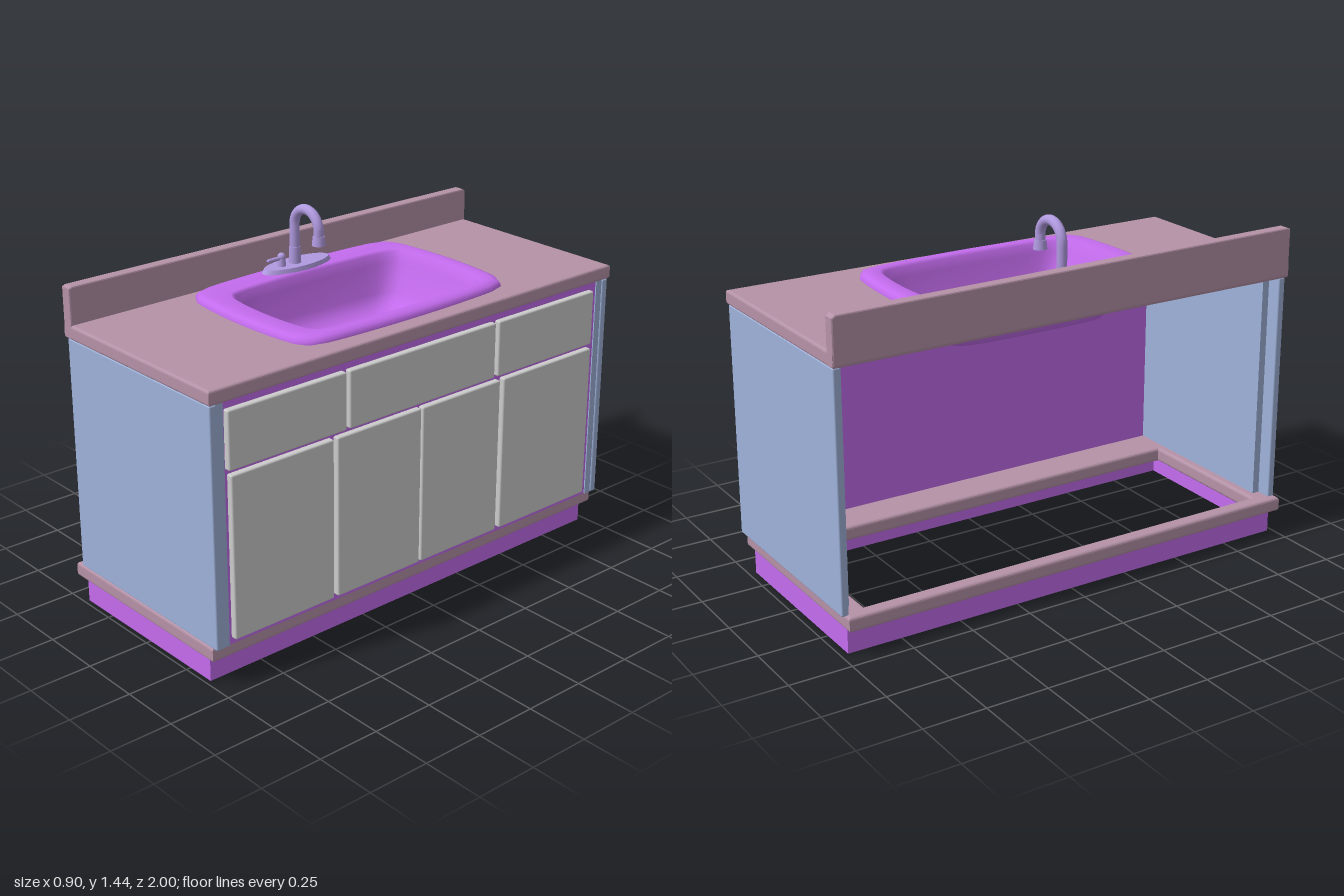
import * as THREE from 'three';
import { RoundedBoxGeometry } from 'three/addons/geometries/RoundedBoxGeometry.js';

const mat = (color, side = THREE.FrontSide) => new THREE.MeshStandardMaterial({ color, side });
const purple = mat(0xc46cee), purpleThin = mat(0xc46cee, THREE.DoubleSide);
const stone = mat(0xb592a7), blue = mat(0x9fb2da), metal = mat(0xb09ae0), grey = mat(0xcccccc);

export function createModel() {
  const model = new THREE.Group();

  const add = (name, geometry, material, x = 0, y = 0, z = 0) => {
    const mesh = new THREE.Mesh(geometry, material);
    mesh.name = name;
    mesh.position.set(x, y, z);
    model.add(mesh);
    return mesh;
  };

  // Box given by its limits, with optionally rounded edges
  const block = (name, material, [x0, x1], [y0, y1], [z0, z1], round = 0) => {
    const size = [x1 - x0, y1 - y0, z1 - z0];
    const geo = round ? new RoundedBoxGeometry(...size, 2, round) : new THREE.BoxGeometry(...size);
    return add(name, geo, material, (x0 + x1) / 2, (y0 + y1) / 2, (z0 + z1) / 2);
  };

  // Horizontal slab with a rectangular opening; limits are [x0, x1, z0, z1]
  const slab = (name, material, outer, inner, y0, y1, bevel) => {
    const corners = ([x0, x1, z0, z1]) =>
      [[x0, -z1], [x1, -z1], [x1, -z0], [x0, -z0]].map(p => new THREE.Vector2(...p));
    const shape = new THREE.Shape(corners(outer));
    shape.holes.push(new THREE.Path(corners(inner)));
    const geo = new THREE.ExtrudeGeometry(shape, {
      depth: y1 - y0 - 2 * bevel, bevelEnabled: bevel > 0, bevelThickness: bevel,
      bevelSize: bevel, bevelOffset: -bevel, bevelSegments: 3
    });
    geo.rotateX(-Math.PI / 2);
    return add(name, geo, material, 0, y0 + bevel, 0);
  };

  // Hollow base and worktop
  slab('plinth', purple, [-0.41, 0.37, -0.97, 0.98], [-0.395, 0.355, -0.955, 0.965], 0, 0.11, 0);
  slab('baseTrim', stone, [-0.45, 0.415, -0.98, 1], [-0.39, 0.24, -0.89, 0.9], 0.1, 0.16, 0.012);
  slab('countertop', stone, [-0.43, 0.44, -1, 1], [-0.26, 0.32, -0.47, 0.45], 1.093, 1.15, 0.01);

  // Backsplash, slightly lower towards one end
  const splash = new THREE.Shape([[-1, 1.1], [1, 1.1], [1, 1.275], [0.985, 1.285], [-0.985, 1.298], [-1, 1.292]]
    .map(p => new THREE.Vector2(...p)));
  const splashGeo = new THREE.ExtrudeGeometry(splash, {
    depth: 0.036, bevelThickness: 0.006, bevelSize: 0.006, bevelOffset: -0.006, bevelSegments: 2
  });
  splashGeo.rotateY(Math.PI / 2);
  add('backsplash', splashGeo, stone, -0.426);

  // End panels with a thinner inner lining
  for (const s of [-1, 1]) {
    const span = (a, b) => s > 0 ? [a, b] : [-b, -a];
    block('endPanel', blue, [-0.42, 0.435], [0.155, 1.093], span(0.965, 0.995), 0.006);
    block('endPanelLining', blue, [-0.36, 0.43], [0.155, 1.093], span(0.935, 0.967));
  }

  // Cabinet front with drawers and doors
  block('frontPanel', purple, [0.4, 0.425], [0.155, 1.093], [-0.94, 0.94]);
  for (const z of [[0.4, 0.93], [-0.35, 0.385], [-0.9, -0.367]])
    block('drawerFront', grey, [0.42, 0.45], [0.84, 1.065], z, 0.007);
  for (const z of [[0.46, 0.922], [0.033, 0.443], [-0.383, 0.025], [-0.9, -0.403]])
    block('door', grey, [0.42, 0.45], [0.18, 0.822], z, 0.007);

  // Sink: bulging rectangular rings [centre x, centre z, half x, half z, y]
  const rings = [
    [0, -0.005, 0.372, 0.535, 1.148],
    [0, -0.005, 0.371, 0.534, 1.16],
    [0, -0.005, 0.362, 0.525, 1.173],
    [0, -0.005, 0.342, 0.505, 1.18],
    [0.032, -0.015, 0.285, 0.452, 1.178],
    [0.032, -0.015, 0.272, 0.438, 1.168],
    [0.032, -0.015, 0.262, 0.428, 1.13],
    [0.035, -0.02, 0.235, 0.385, 1.02],
    [0.035, -0.02, 0.21, 0.35, 0.975],
    [0.035, -0.02, 0.16, 0.28, 0.955],
    [0.035, -0.02, 0.0, 0.0, 0.95]
  ];
  const N = 64, pos = [], index = [];
  rings.forEach(([cx, cz, a, b, y], r) => {
    for (let i = 0; i < N; i++) {
      const t = (i / N) * Math.PI * 2, c = Math.cos(t), s = Math.sin(t), n = 14;
      const k = (Math.abs(c) ** n + Math.abs(s) ** n) ** (-1 / n), u = k * c, v = k * s;
      pos.push(cx + a * u * (1 - 0.06 * v * v), y, cz + b * v * (1 - 0.06 * u * u));
      if (r === 0) continue;
      const j = (i + 1) % N, p = (r - 1) * N, q = r * N;
      index.push(p + i, q + i, p + j, p + j, q + i, q + j);
    }
  });
  const sinkGeo = new THREE.BufferGeometry();
  sinkGeo.setAttribute('position', new THREE.Float32BufferAttribute(pos, 3));
  sinkGeo.setIndex(index);
  sinkGeo.computeVertexNormals();
  add('sink', sinkGeo, purpleThin);

  // Faucet base plate
  const fx = -0.31, fz = 0.008;
  const plate = new THREE.CylinderGeometry(0.92, 1, 0.018, 40);
  plate.scale(0.062, 1, 0.17);
  add('faucetBase', plate, metal, fx, 1.186, 0);

  // Gooseneck spout
  const neck = new THREE.CurvePath();
  const V = (x, y) => new THREE.Vector3(x, y, fz);
  const arc = [];
  for (let i = 0; i <= 12; i++) {
    const t = Math.PI * (1 - i / 12 * 0.96);
    arc.push(V(-0.237 + 0.073 * Math.cos(t), 1.352 + 0.073 * Math.sin(t)));
  }
  neck.add(new THREE.LineCurve3(V(fx, 1.19), arc[0]));
  neck.add(new THREE.CatmullRomCurve3(arc));
  neck.add(new THREE.LineCurve3(arc[12], V(-0.165, 1.325)));
  add('spout', new THREE.TubeGeometry(neck, 60, 0.02, 16), metal);
  add('spoutCollar', new THREE.CylinderGeometry(0.022, 0.025, 0.07, 20), metal, fx, 1.225, fz);
  add('spoutTip', new THREE.CylinderGeometry(0.023, 0.027, 0.036, 20), metal, -0.165, 1.317, fz);

  // Lever handle
  add('handleStem', new THREE.CylinderGeometry(0.014, 0.018, 0.045, 16), metal, fx, 1.212, 0.075);
  add('handleCap', new THREE.SphereGeometry(0.016, 16, 10), metal, fx, 1.232, 0.075);
  const lever = add('handleLever', new THREE.CapsuleGeometry(0.008, 0.06, 4, 10), metal, fx, 1.227, 0.11);
  lever.rotation.x = Math.PI / 2;

  return model;
}
